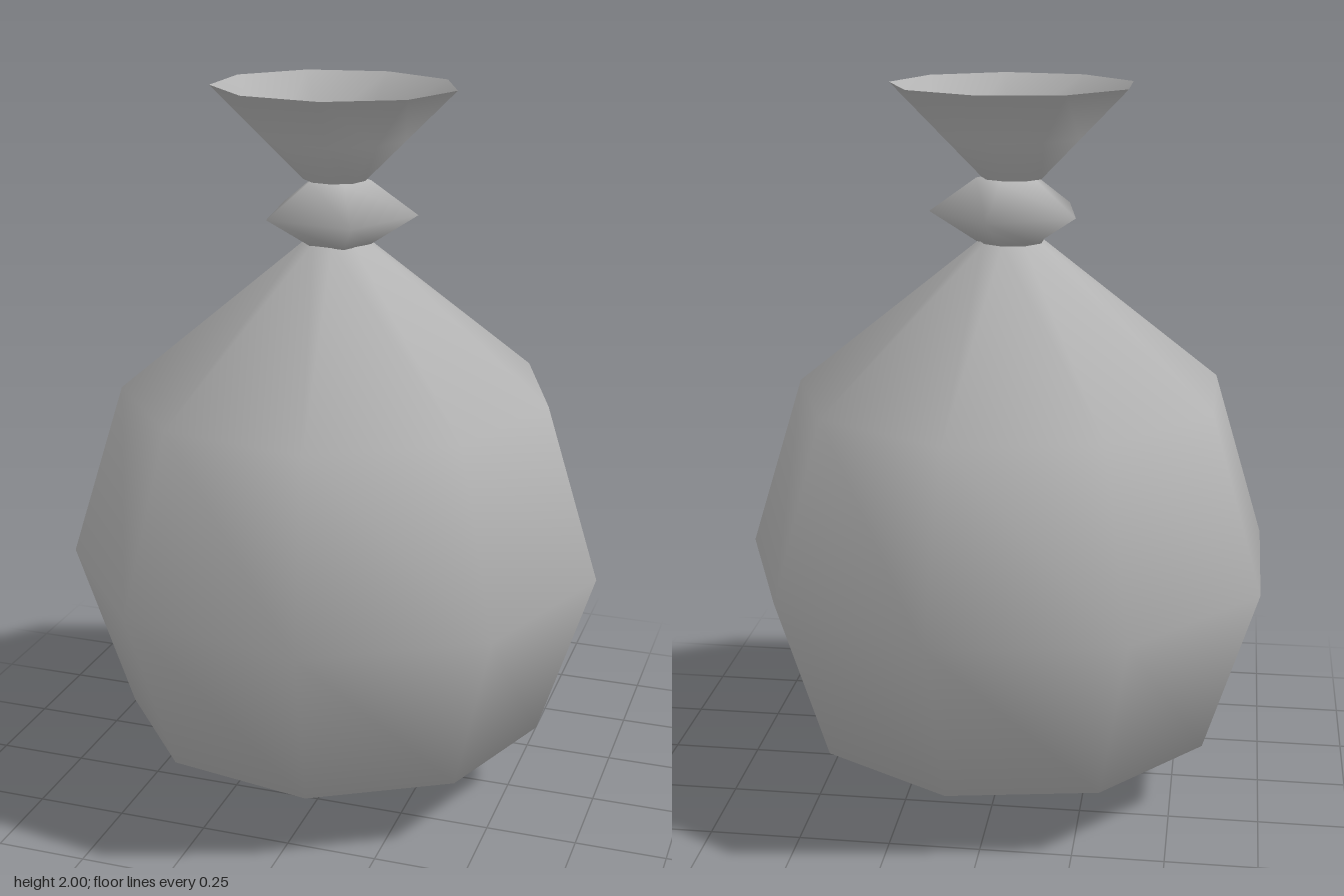
import * as THREE from 'three';
import { mergeGeometries, mergeVertices } from 'three/addons/utils/BufferGeometryUtils.js';

// Turns one or more profiles into a single smooth low-poly surface, welded where they meet
function turned(name, material, sides, firstCorner, ...profiles) {
  const lathes = profiles.map((points) => {
    const geometry = new THREE.LatheGeometry(points.map(([r, y]) => new THREE.Vector2(r, y)), sides, firstCorner);
    geometry.deleteAttribute('normal');
    geometry.deleteAttribute('uv');
    return geometry;
  });
  const geometry = mergeVertices(mergeGeometries(lathes));
  geometry.computeVertexNormals();
  const mesh = new THREE.Mesh(geometry, material);
  mesh.name = name;
  return mesh;
}

export function createModel() {
  const cloth = new THREE.MeshStandardMaterial({ color: 0xb4b4b4, side: THREE.DoubleSide });
  cloth.name = 'grey cloth';

  const sack = new THREE.Group();
  sack.name = 'tiedSack';

  // Full round bag, gathered to a narrow neck
  const bag = turned('bag', cloth, 9, Math.PI / 2,
    [[0, 0], [0.6, 0.2], [0.752, 0.68], [0.6, 1.167], [0.09, 1.58]]);
  bag.position.x = -0.023;
  bag.scale.z = 0.985;

  // Five-sided tie bulging between bag and mouth, one corner turned to the front right
  const tie = turned('tie', cloth, 5, -Math.PI / 4,
    [[0, 1.575], [0.088, 1.577], [0.2155, 1.66], [0.088, 1.75], [0, 1.752]]);
  tie.position.set(-0.013, 0, 0.013);

  // Flared mouth, with a low gathered mound closing it inside
  const mouth = turned('mouth', cloth, 9, Math.PI / 2,
    [[0.085, 1.75], [0.198, 1.863], [0.335, 2]],
    [[0.198, 1.863], [0.083, 1.9], [0, 1.905]]);
  mouth.position.set(-0.024, 0, 0.014);
  mouth.scale.z = 0.885;

  sack.add(bag, tie, mouth);
  return sack;
}
